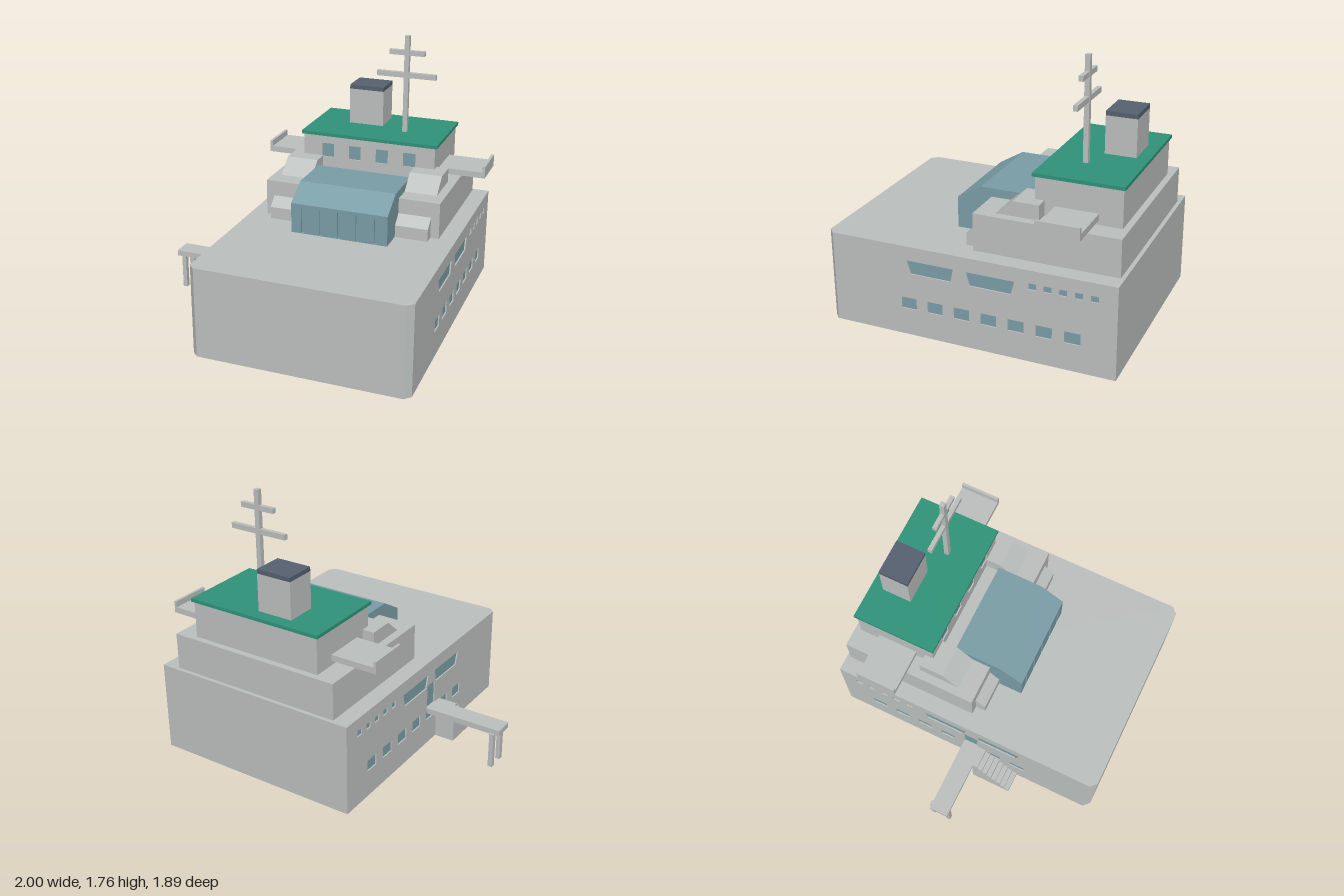
import * as THREE from 'three';

const CX = 0.2275; // centre line of the ship; ship parts use x relative to it

const mat = (name, color) => {
  const m = new THREE.MeshStandardMaterial({ color });
  m.name = name;
  return m;
};

export function createModel() {
  const grey = mat('painted grey', 0xbbbfbd);
  const glass = mat('blue glass', 0x7a9da6);
  const green = mat('roof green', 0x2f9279);
  const slate = mat('funnel slate', 0x566070);

  const model = new THREE.Group();
  model.name = 'shipBuilding';
  const ship = new THREE.Group();
  ship.name = 'ship';
  ship.position.x = CX;
  model.add(ship);

  const add = (name, geometry, material, parent = ship) => {
    const mesh = new THREE.Mesh(geometry, material);
    mesh.name = name;
    parent.add(mesh);
    return mesh;
  };

  // Box from its limits
  const box = (name, m, [x0, x1], [y0, y1], [z0, z1], parent) =>
    add(name, new THREE.BoxGeometry(x1 - x0, y1 - y0, z1 - z0)
      .translate((x0 + x1) / 2, (y0 + y1) / 2, (z0 + z1) / 2), m, parent);

  const extrude = (pts, depth, holes = []) => {
    const v = (a) => a.map(([x, y]) => new THREE.Vector2(x, y));
    const shape = new THREE.Shape(v(pts));
    shape.holes = holes.map((h) => new THREE.Path(v(h)));
    return new THREE.ExtrudeGeometry(shape, { depth, bevelEnabled: false });
  };

  // Profile of [z, y] points, extruded from x0 to x1
  const prism = (name, m, pts, x0, x1, holes, parent) =>
    add(name, extrude(pts, x1 - x0, holes).rotateY(-Math.PI / 2).translate(x1, 0, 0), m, parent);

  // Outline of [x, y] points, extruded from z0 to z1
  const wall = (name, m, pts, z0, z1, holes) =>
    add(name, extrude(pts, z1 - z0, holes).translate(0, 0, z0), m);

  const rect = (a0, a1, b0, b1) => [[a0, b0], [a1, b0], [a1, b1], [a0, b1]];

  // Hull: core with notched sides that take the pierced side plates
  const W = 0.7025, D = 0.012, Z = 0.945, C = 0.04;
  const half = [[W - D, -Z], [W - D, Z - C], [W, Z - C], [W - C, Z]];
  const plan = [...half, ...half.map(([x, z]) => [-x, z]).reverse()].map(([x, z]) => [x, -z]);
  add('hull', extrude(plan, 0.6).rotateX(-Math.PI / 2), grey);

  // Side windows as [z, y] outlines
  const windows = [
    [[0.396, 0.508], [0.081, 0.508], [0.1, 0.42], [0.368, 0.42]],
    [[0, 0.508], [-0.315, 0.508], [-0.29, 0.42], [-0.025, 0.42]],
  ];
  for (let i = 0; i < 7; i++) {
    const z = 0.386 - 0.177 * i;
    windows.push(rect(z - 0.051, z + 0.051, 0.178, 0.254));
  }
  for (let i = 0; i < 5; i++) {
    const z = -0.427 - 0.095 * i;
    windows.push(rect(z - 0.024, z + 0.024, 0.477, 0.517));
  }
  const door = rect(-0.01, 0.085, 0.27, 0.43);

  for (const s of [-1, 1]) {
    const side = s < 0 ? 'right' : 'left';
    const span = (a, b) => (s > 0 ? [a, b] : [-b, -a]);
    const openings = s < 0 ? [...windows, door] : windows;
    prism(side + 'HullSide', grey, rect(-Z, Z - C, 0, 0.6), ...span(W - D, W), openings);
    openings.forEach((o) =>
      prism(o === door ? 'hullDoor' : side + 'HullWindow', glass, o, ...span(W - D, W - D + 0.003)));

    // Sloped housings beside the glass hall
    prism(side + 'UpperHousing', grey,
      [[-0.4, 0.84], [-0.125, 0.84], [-0.235, 0.935], [-0.4, 0.935]], ...span(0.3225, 0.5375));
    prism(side + 'LowerHousing', grey,
      [[0, 0.6], [0.068, 0.6], [0.068, 0.68], [0, 0.738]], ...span(0.3225, 0.5375));

    // Bridge wing with end rail
    box(side + 'BridgeWing', grey, span(0.45, 0.7675), [0.87, 0.91], [-0.735, -0.465]);
    box(side + 'WingRail', grey, span(0.7495, 0.7675), [0.91, 0.95], [-0.735, -0.465]);
  }

  // Superstructure
  box('lowerDeckhouse', grey, [-0.5925, 0.5925], [0.6, 0.84], [-0.92, 0]);
  box('bridge', grey, [-0.4575, 0.4575], [0.84, 1.08], [-0.88, -0.352]);
  const bridgeWindows = [-0.285, -0.095, 0.095, 0.285].map((x) => rect(x - 0.042, x + 0.042, 0.93, 1.025));
  wall('bridgeFront', grey, rect(-0.4575, 0.4575, 0.84, 1.08), -0.352, -0.34, bridgeWindows);
  bridgeWindows.forEach((w) => wall('bridgeWindow', glass, w, -0.352, -0.349));
  box('bridgeRoof', green, [-0.4725, 0.4725], [1.08, 1.102], [-0.892, -0.326]);

  // Glass hall with a slotted front
  prism('glassHall', glass,
    [[0.215, 0.6], [0.215, 0.8], [0.23, 0.8], [0.07, 0.895], [-0.248, 0.895], [-0.248, 0.6]], -0.3225, 0.3225);
  const slots = [-2, -1, 0, 1, 2].map((i) => rect(0.123 * i - 0.01, 0.123 * i + 0.01, 0.603, 0.78));
  wall('glassHallFront', glass, rect(-0.3225, 0.3225, 0.6, 0.8), 0.215, 0.23, slots);

  // Funnel
  box('funnel', grey, [-0.2275, 0.0125], [1.1, 1.345], [-0.81, -0.61]);
  box('funnelCap', slate, [-0.2275, 0.0125], [1.345, 1.373], [-0.81, -0.61]);

  // Mast
  const mx = 0.188;
  box('mast', grey, [mx - 0.016, mx + 0.016], [1.1, 1.76], [-0.572, -0.54]);
  box('lowerCrossbar', grey, [mx - 0.202, mx + 0.202], [1.477, 1.512], [-0.57, -0.542]);
  box('upperCrossbar', grey, [mx - 0.121, mx + 0.121], [1.629, 1.662], [-0.57, -0.542]);

  // Gangway, legs and stairs (x measured from the model centre)
  box('gangway', grey, [-1, -0.475], [0.232, 0.27], [-0.015, 0.115], model);
  for (const z of [-0.03, 0.08])
    box('gangwayLeg', grey, [-0.97, -0.94], [0, 0.24], [z, z + 0.03], model);
  const steps = [[0.112, 0], [0.112, 0.268]];
  for (let i = 0; i < 8; i++) {
    const z = 0.15 + i * 0.0343, y = 0.268 - i * 0.0335;
    steps.push([z, y], [z, y - 0.0335]);
  }
  prism('stairs', grey, steps, -0.61, -0.475, [], model);

  return model;
}
